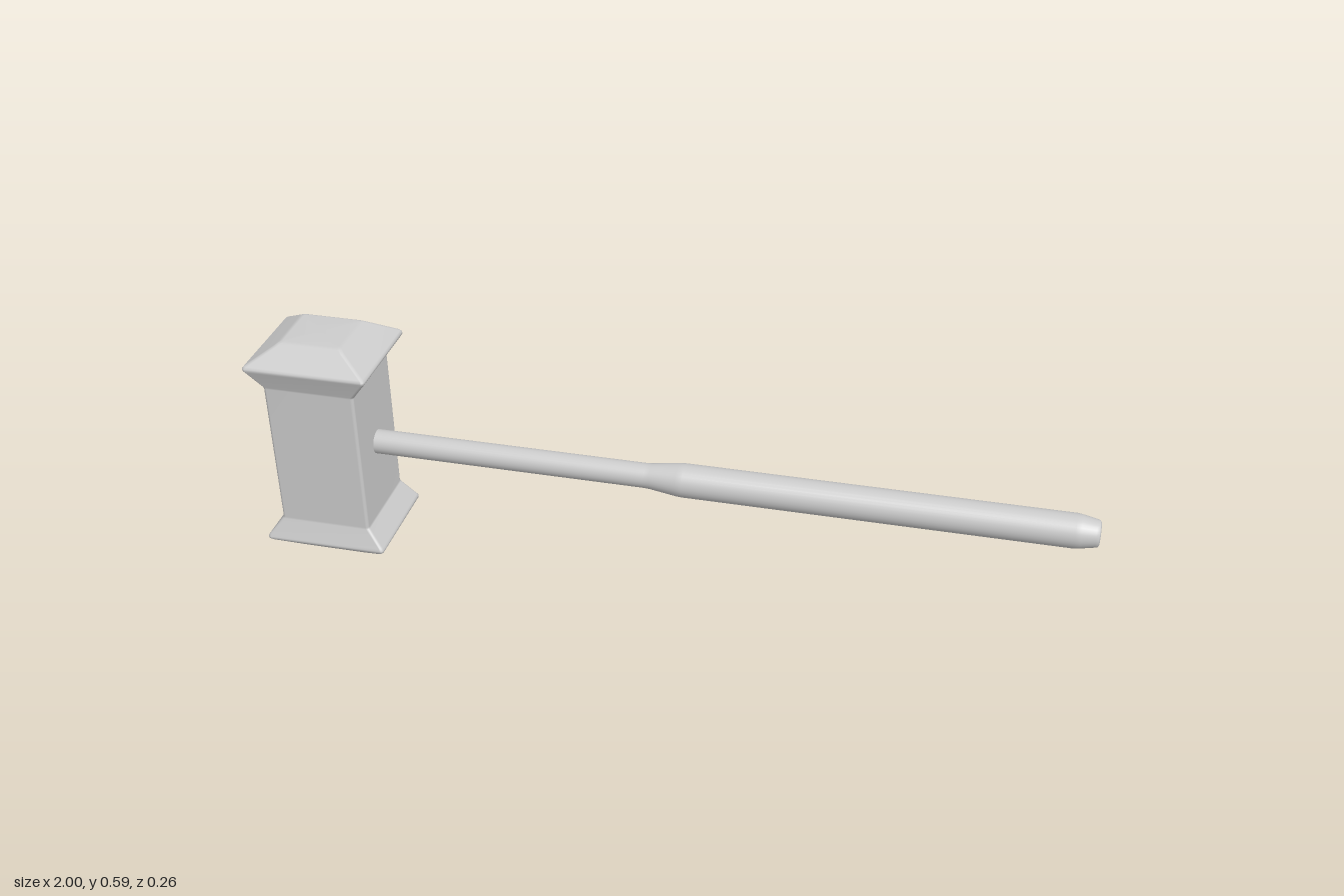
import * as THREE from 'three';

const material = new THREE.MeshStandardMaterial({ color: 0xcccccc });
const HEAD_X = -0.848, MID_Y = 0.297;

// Rounded rectangle in the xz plane, as a closed loop of [x, z]
function roundedRect(hx, hz, r, steps = 4) {
  const loop = [];
  for (let corner = 0; corner < 4; corner++) {
    const sx = corner === 0 || corner === 3 ? 1 : -1;
    const sz = corner < 2 ? 1 : -1;
    for (let i = 0; i <= steps; i++) {
      const a = (corner + i / steps) * Math.PI / 2;
      loop.push([sx * (hx - r) + r * Math.cos(a), sz * (hz - r) + r * Math.sin(a)]);
    }
  }
  return loop;
}

// Stack of rounded rectangles [y, hx, hz], bottom to top, closed at both ends
function loft(sections, r) {
  const pos = [], index = [];
  let n = 0;
  for (const [y, hx, hz] of sections) {
    const loop = roundedRect(hx, hz, r);
    n = loop.length;
    for (const [x, z] of loop) pos.push(x, y, z);
  }
  const last = (sections.length - 1) * n;
  const bottom = pos.length / 3, top = bottom + 1;
  pos.push(0, sections[0][0], 0, 0, sections[sections.length - 1][0], 0);
  for (let i = 0; i < n; i++) {
    const j = (i + 1) % n;
    for (let row = 0; row < last; row += n) {
      const a = row + i, b = row + j;
      index.push(a, a + n, b, b, a + n, b + n);
    }
    index.push(bottom, i, j, top, last + j, last + i);
  }
  const g = new THREE.BufferGeometry();
  g.setAttribute('position', new THREE.Float32BufferAttribute(pos, 3));
  g.setIndex(index);
  g.computeVertexNormals();
  return g;
}

export function createModel() {
  const group = new THREE.Group();

  // Upper half of the head: height from the middle, half width, half depth
  const upper = [
    [0.184, 0.113, 0.113],
    [0.189, 0.115, 0.114],
    [0.233, 0.149, 0.129],
    [0.238, 0.152, 0.1315],
    [0.243, 0.152, 0.1315],
    [0.248, 0.148, 0.128],
    [0.285, 0.088, 0.083],
    [0.291, 0.079, 0.075],
    [0.294, 0.070, 0.067],
  ];
  const lower = upper.map(([y, hx, hz]) => [-y, hx, hz]).reverse();
  const head = new THREE.Mesh(loft([...lower, ...upper], 0.008), material);
  head.name = 'head';
  head.position.set(HEAD_X, MID_Y, 0);
  group.add(head);

  // Turned handle: [radius, x], thin neck swelling into the grip
  const profile = [
    [0, -0.78], [0.03, -0.78], [0.03, -0.06], [0.031, -0.045],
    [0.04, 0.02], [0.041, 0.035], [0.041, 0.945], [0.0395, 0.957],
    [0.033, 0.99], [0.031, 0.997], [0.027, 1], [0, 1],
  ].map(([r, x]) => new THREE.Vector2(r, x));
  const handle = new THREE.Mesh(new THREE.LatheGeometry(profile, 32), material);
  handle.name = 'handle';
  handle.rotation.z = -Math.PI / 2;
  handle.position.y = MID_Y;
  group.add(handle);

  return group;
}
